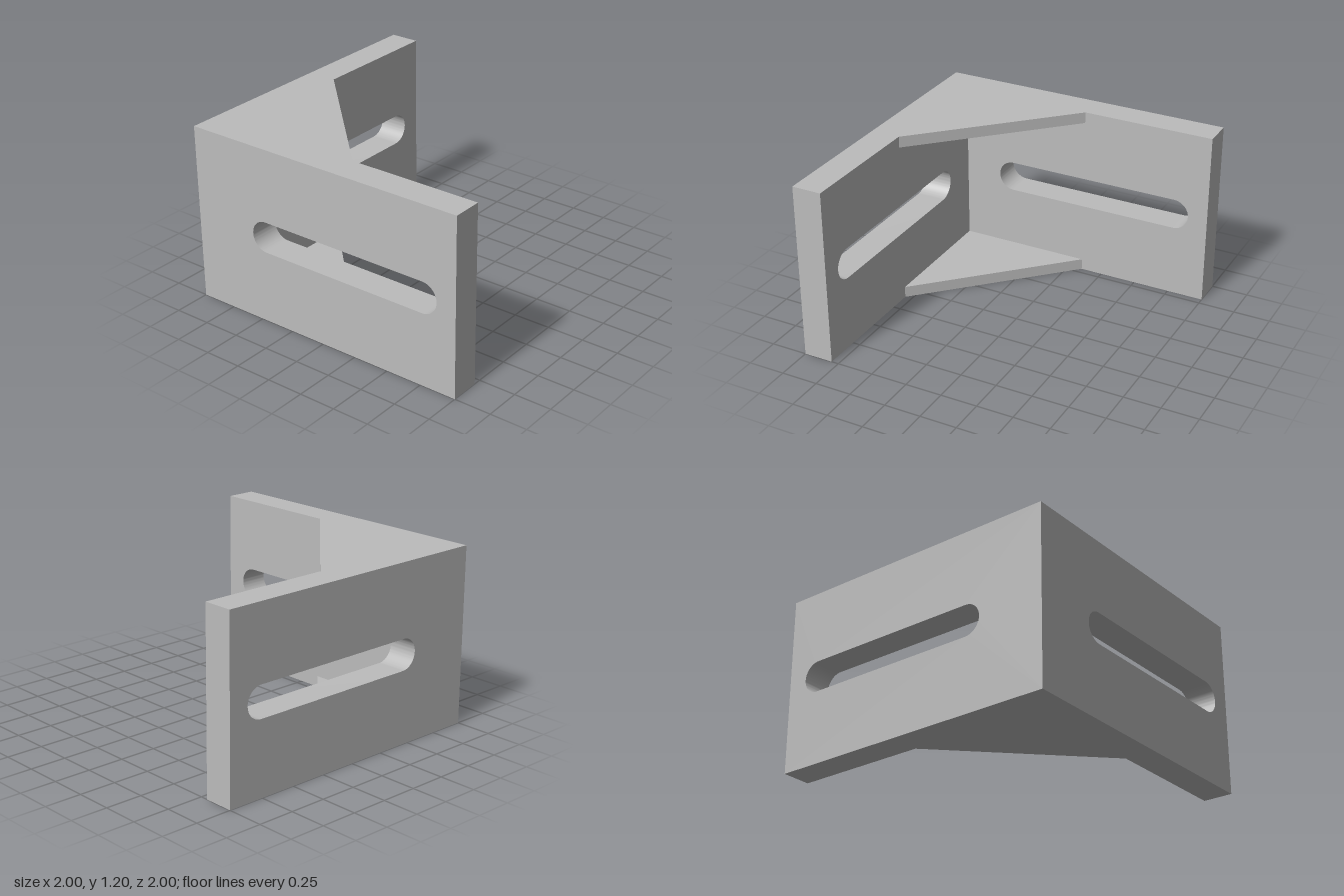
import * as THREE from 'three';
import { toCreasedNormals } from 'three/addons/utils/BufferGeometryUtils.js';

const H = 1.2, T = 0.2, GUSSET = 0.077;
const SLOT = { from: -0.44, to: 0.76, r: 0.105 };

// Slotted plate, centred on y = 0, outer face at z = 1, mitred at its x = -1 end
function plateGeometry() {
  const shape = new THREE.Shape([
    new THREE.Vector2(-1, -H / 2), new THREE.Vector2(1, -H / 2),
    new THREE.Vector2(1, H / 2), new THREE.Vector2(-1, H / 2),
  ]);
  const slot = new THREE.Path();
  slot.absarc(SLOT.to, 0, SLOT.r, -Math.PI / 2, Math.PI / 2);
  slot.absarc(SLOT.from, 0, SLOT.r, Math.PI / 2, Math.PI * 1.5);
  slot.closePath();
  shape.holes.push(slot);

  const geo = new THREE.ExtrudeGeometry(shape, { depth: T, bevelEnabled: false, curveSegments: 24 });
  geo.translate(0, 0, 1 - T);
  const p = geo.attributes.position;
  for (let i = 0; i < p.count; i++) {
    if (p.getX(i) < -0.99 && p.getZ(i) < 0.9) p.setX(i, -1 + T);
  }
  return toCreasedNormals(geo, 0.5);
}

export function createModel() {
  const group = new THREE.Group();
  group.name = 'slottedCornerBracket';
  const metal = new THREE.MeshStandardMaterial({ color: 0xbcbcbc });
  metal.name = 'grey metal';

  // Two identical plates meeting at the mitred corner
  const geo = plateGeometry();
  const frontPlate = new THREE.Mesh(geo, metal);
  frontPlate.name = 'frontPlate';
  const sidePlate = new THREE.Mesh(geo, metal);
  sidePlate.name = 'sidePlate';
  // half turn about the horizontal diagonal: (x, y, z) -> (-z, -y, -x)
  sidePlate.quaternion.setFromAxisAngle(new THREE.Vector3(1, 0, -1).normalize(), Math.PI);
  for (const plate of [frontPlate, sidePlate]) {
    plate.position.y = H / 2;
    group.add(plate);
  }

  // Triangular gussets closing the inner corner at top and bottom
  const triangle = new THREE.Shape([
    new THREE.Vector2(-0.8, 0.8), new THREE.Vector2(-0.8, -0.1), new THREE.Vector2(0.1, 0.8),
  ]);
  const gussetGeo = new THREE.ExtrudeGeometry(triangle, { depth: GUSSET, bevelEnabled: false });
  gussetGeo.rotateX(Math.PI / 2);
  for (const [name, top] of [['topGusset', H], ['bottomGusset', GUSSET]]) {
    const gusset = new THREE.Mesh(gussetGeo, metal);
    gusset.name = name;
    gusset.position.y = top;
    group.add(gusset);
  }
  return group;
}
